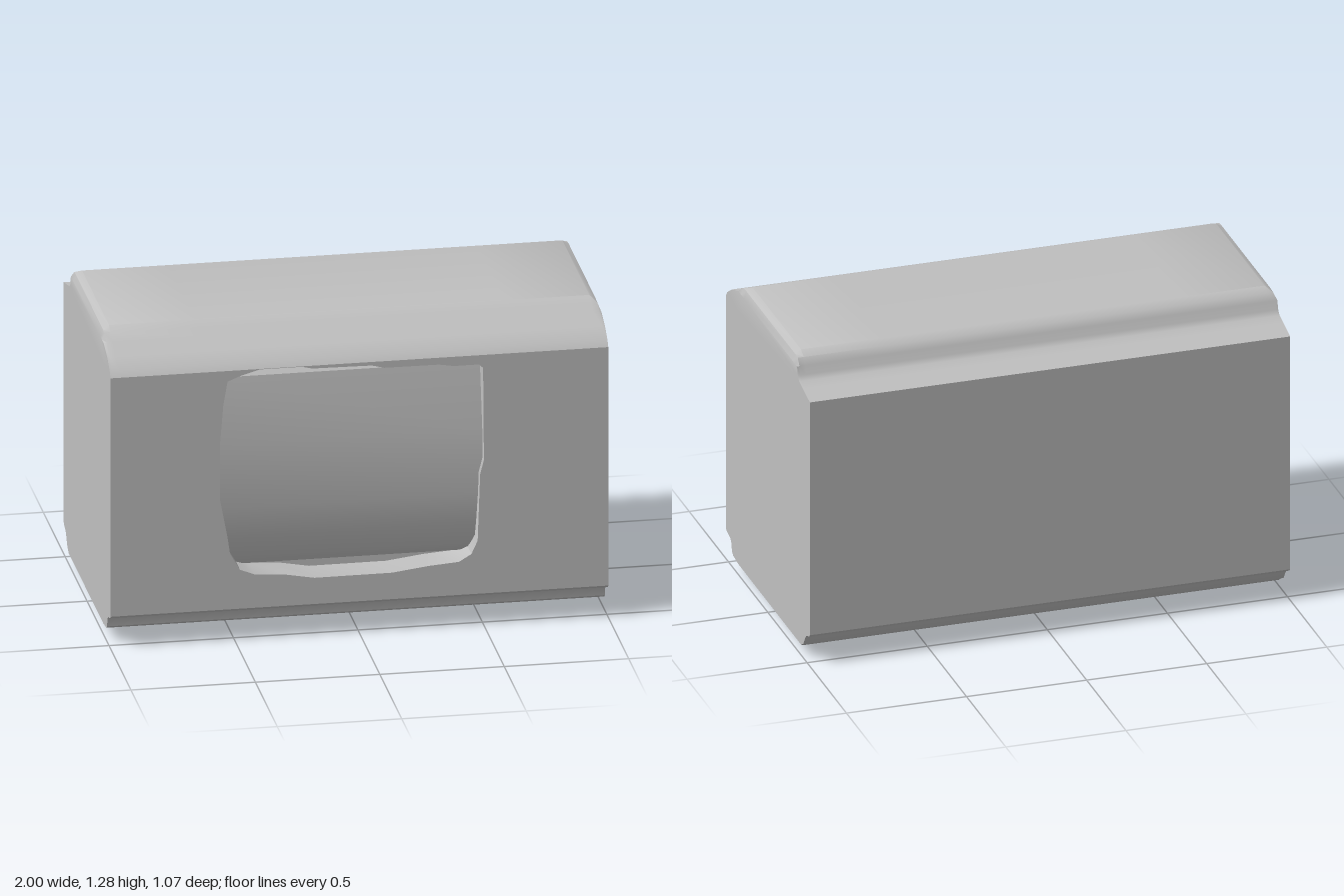
import * as THREE from 'three';
import { toCreasedNormals } from 'three/addons/utils/BufferGeometryUtils.js';

// Loft a closed [z, y] outline along x; adjust(x, y) reshapes each station.
function loft(outline, stations, adjust = (x, y) => y, crease = 0.6) {
  const n = outline.length, pos = [], idx = [];
  for (const x of stations) for (const [z, y] of outline) pos.push(x, adjust(x, y), z);
  for (let j = 0; j < stations.length - 1; j++) {
    for (let i = 0; i < n; i++) {
      const k = (i + 1) % n, a = j * n + i, b = j * n + k;
      idx.push(a, b, b + n, a, b + n, a + n);
    }
  }
  const flat = outline.map(([z, y]) => new THREE.Vector2(-z, y));
  const last = (stations.length - 1) * n;
  for (const [a, b, c] of THREE.ShapeUtils.triangulateShape(flat, [])) {
    idx.push(last + a, last + b, last + c, a, c, b);
  }
  const geo = new THREE.BufferGeometry();
  geo.setAttribute('position', new THREE.Float32BufferAttribute(pos, 3));
  geo.setIndex(idx);
  return toCreasedNormals(geo, crease);
}

// Raised pad with sloping sides, its flat face pointing down.
function padGeometry(x, width, z0, z1, y, slope) {
  const geo = new THREE.BoxGeometry(width, 0.06, z1 - z0);
  const p = geo.attributes.position;
  for (let i = 0; i < p.count; i++) {
    if (p.getY(i) > 0) {
      p.setX(i, p.getX(i) + Math.sign(p.getX(i)) * slope);
      p.setZ(i, p.getZ(i) + Math.sign(p.getZ(i)) * slope);
    }
  }
  geo.translate(x, y + 0.03, (z0 + z1) / 2);
  geo.computeVertexNormals();
  return geo;
}

export function createModel() {
  const group = new THREE.Group();
  const grey = new THREE.MeshStandardMaterial({ color: 0xc0c0c0 });
  grey.name = 'light grey';
  const add = (name, geo) => {
    const mesh = new THREE.Mesh(geo, grey);
    mesh.name = name;
    group.add(mesh);
  };
  const front = 0.535, recess = 0.4, low = 0.135, high = 1.145;

  // Housing: side outline with a pocket at the front for the panel
  const side = [
    [front, low], [0.525, 0.125], [0.475, 0.112], [0.462, 0.095], [0.457, 0.065], [0.44, 0.053], [0.37, 0.03],
    [-0.38, 0.03], [-0.42, 0.04], [-0.45, 0.06], [-0.475, 0.095], [-0.49, 0.113], [-0.525, 0.125], [-0.535, 0.135],
    [-0.535, 1.15], [-0.45, 1.17], [-0.4, 1.182], [-0.382, 1.2], [-0.372, 1.235], [-0.35, 1.262], [-0.315, 1.28],
    [0.3, 1.28], [0.34, 1.262], [0.38, 1.24], [0.46, 1.205], [0.515, 1.17], [front, high],
    [recess, high], [recess, low],
  ];
  const trim = (x, y) => {
    const e = Math.abs(x);
    const top = e > 0.995 ? 1.235 : e > 0.98 ? 1.265 : 1.28;
    const bottom = e > 0.995 ? 0.045 : e > 0.6 ? 0.04 : 0.03;
    return Math.min(top, Math.max(bottom, y));
  };
  add('housing', loft(side, [-1, -0.99, -0.965, -0.62, -0.58, 0.58, 0.62, 0.965, 0.99, 1], trim));

  // Front panel with an irregular rounded opening
  const panel = new THREE.Shape();
  panel.moveTo(-1, low).lineTo(1, low).lineTo(1, high).lineTo(-1, high).closePath();
  const opening = [
    [-0.53, 1.1], [-0.48, 1.12], [-0.4, 1.143], [-0.23, 1.143], [-0.19, 1.133], [0.05, 1.13], [0.1, 1.117],
    [0.32, 1.116], [0.38, 1.106], [0.48, 1.106], [0.497, 1.09], [0.5, 0.7], [0.485, 0.64], [0.475, 0.36],
    [0.45, 0.305], [0.4, 0.275], [0.28, 0.266], [0.13, 0.247], [-0.18, 0.246], [-0.3, 0.268], [-0.42, 0.276],
    [-0.48, 0.3], [-0.52, 0.37], [-0.53, 0.44], [-0.56, 0.6], [-0.56, 0.84], [-0.547, 1.0],
  ];
  panel.holes.push(new THREE.Path(opening.map(([x, y]) => new THREE.Vector2(x, y))));
  const panelGeo = new THREE.ExtrudeGeometry(panel, { depth: front - recess, bevelEnabled: false });
  panelGeo.translate(0, 0, recess);
  add('frontPanel', toCreasedNormals(panelGeo, 0.6));

  // Bulging drum set behind the opening
  const drum = [
    [0.39, 1.115], [0.44, 1.11], [0.46, 1.09], [0.503, 0.82], [0.503, 0.55],
    [0.485, 0.42], [0.46, 0.325], [0.435, 0.288], [0.39, 0.28],
  ];
  add('drum', loft(drum, [-0.57, 0.51]));

  // Feet and low ridges under each end
  for (const s of [-1, 1]) {
    const label = s > 0 ? 'left' : 'right';
    add(label + 'Foot', padGeometry(s * 0.775, 0.2, -0.05, 0.3, 0, 0.06));
    add(label + 'RearRidge', padGeometry(s * 0.775, 0.22, -0.36, -0.32, 0.014, 0.03));
    add(label + 'MiddleRidge', padGeometry(s * 0.775, 0.22, -0.26, -0.22, 0.016, 0.04));
  }
  return group;
}
